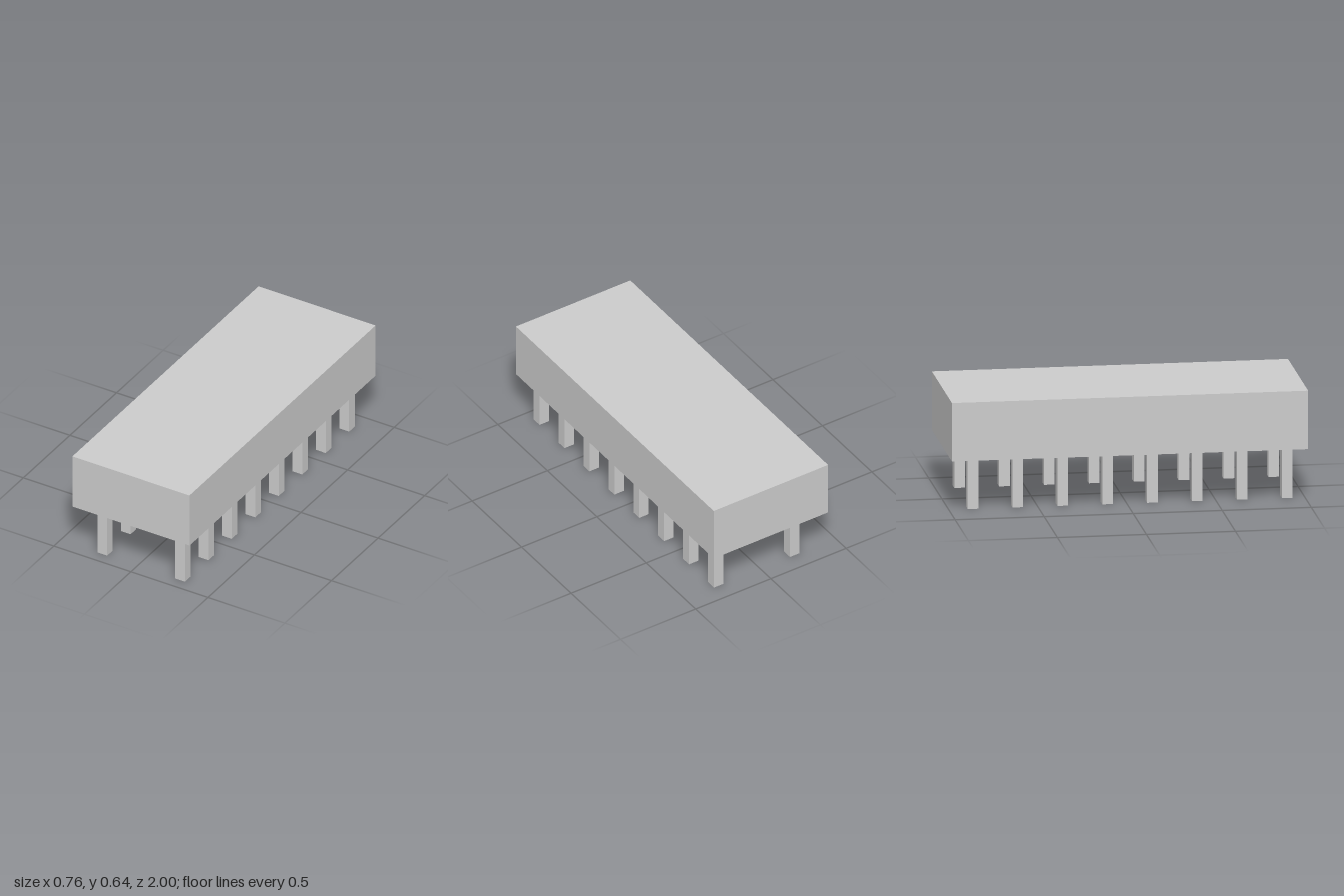
import * as THREE from 'three';

export function createModel() {
  const group = new THREE.Group();
  const material = new THREE.MeshStandardMaterial({ color: 0xcccccc, flatShading: true });

  const addBox = (name, size, position) => {
    const mesh = new THREE.Mesh(new THREE.BoxGeometry(...size), material);
    mesh.name = name;
    mesh.position.set(...position);
    group.add(mesh);
  };

  // Rectangular body
  const bottom = 0.304, top = 0.638;
  addBox('body', [0.76, top - bottom, 2], [0, (top + bottom) / 2, 0]);

  // Two rows of eight square pins, set slightly off centre
  const rows = [['rightPin', -0.228], ['leftPin', 0.277]];
  for (const [name, x] of rows) {
    for (let i = 0; i < 8; i++) {
      addBox(`${name}${i + 1}`, [0.063, bottom, 0.06], [x, bottom / 2, 0.9 - i * 0.252]);
    }
  }
  return group;
}
